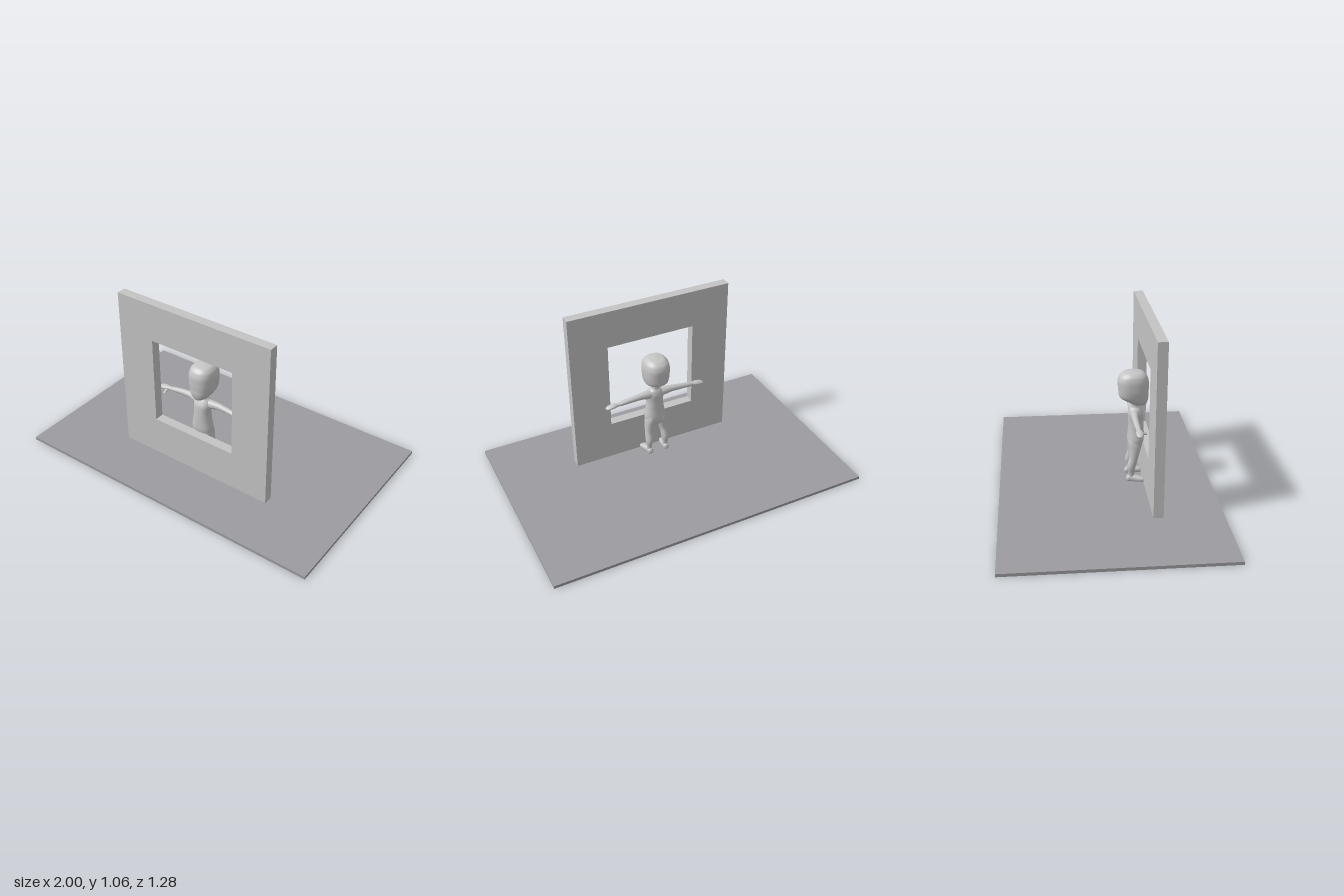
import * as THREE from 'three';

const AXES = { x: 0, y: 1, z: 2 };

// Smooth closed body swept along one axis. Section: [x, y, z, r1, r2].
// Radii are (x, z) along y, (z, y) along x and (y, x) along z.
function loft(axis, sections, { power = 1, side = 1, sides = 24, steps = 4 } = {}) {
  const k = AXES[axis], u = (k + 2) % 3, v = (k + 1) % 3;
  const centres = new THREE.CatmullRomCurve3(sections.map(s => new THREE.Vector3(s[0], s[1], s[2])));
  const radii = new THREE.CatmullRomCurve3(sections.map(s => new THREE.Vector3(s[3], s[4], 0)));
  const rings = (sections.length - 1) * steps;
  const pos = [], index = [];
  const bend = n => Math.sign(n) * Math.abs(n) ** power;
  const addPoint = p => pos.push(p[0] * side, p[1], p[2]);
  const addTri = (a, b, c) => (side > 0 ? index.push(a, b, c) : index.push(a, c, b));
  for (let i = 0; i <= rings; i++) {
    const c = centres.getPoint(i / rings).toArray();
    const r = radii.getPoint(i / rings);
    for (let j = 0; j < sides; j++) {
      const t = (j / sides) * Math.PI * 2, p = [...c];
      p[u] += Math.max(r.x, 0.001) * bend(Math.cos(t));
      p[v] += Math.max(r.y, 0.001) * bend(Math.sin(t));
      addPoint(p);
    }
  }
  for (let i = 0; i < rings; i++) {
    for (let j = 0; j < sides; j++) {
      const a = i * sides + j, b = i * sides + (j + 1) % sides;
      addTri(a, a + sides, b);
      addTri(b, a + sides, b + sides);
    }
  }
  // end caps
  const first = pos.length / 3;
  addPoint(sections[0]);
  addPoint(sections[sections.length - 1]);
  for (let j = 0; j < sides; j++) {
    const n = (j + 1) % sides, top = rings * sides;
    addTri(first, j, n);
    addTri(first + 1, top + n, top + j);
  }
  const g = new THREE.BufferGeometry();
  g.setAttribute('position', new THREE.Float32BufferAttribute(pos, 3));
  g.setIndex(index);
  g.computeVertexNormals();
  return g;
}

export function createModel() {
  const model = new THREE.Group();
  const material = (name, color) => Object.assign(new THREE.MeshStandardMaterial({ color }), { name });
  const floorGrey = material('floorGrey', 0x9c9ca0);
  const wallGrey = material('wallGrey', 0xc4c4c4);
  const bodyGrey = material('bodyGrey', 0xc5c5c5);
  const add = (parent, name, geometry, mat) => {
    const mesh = new THREE.Mesh(geometry, mat);
    mesh.name = name;
    parent.add(mesh);
    return mesh;
  };

  // floor slab
  add(model, 'floor', new THREE.BoxGeometry(2, 0.018, 1.28), floorGrey).position.y = 0.009;

  // wall with a square window opening
  const outline = (w, y0, y1, P) => new P().setFromPoints([
    new THREE.Vector2(-w, y0), new THREE.Vector2(w, y0),
    new THREE.Vector2(w, y1), new THREE.Vector2(-w, y1), new THREE.Vector2(-w, y0)]);
  const wallShape = outline(0.52, 0.018, 1.06, THREE.Shape);
  wallShape.holes.push(outline(0.28, 0.267, 0.824, THREE.Path));
  const wall = new THREE.ExtrudeGeometry(wallShape, { depth: 0.058, bevelEnabled: false });
  add(model, 'windowWall', wall, wallGrey).position.z = 0.233;

  // figure standing behind the window
  const figure = new THREE.Group();
  figure.name = 'figure';
  model.add(figure);

  add(figure, 'head', loft('y', [
    [0, 0.497, 0.215, 0.005, 0.005],
    [0, 0.503, 0.212, 0.028, 0.036],
    [0, 0.522, 0.202, 0.052, 0.056],
    [0, 0.555, 0.178, 0.071, 0.086],
    [0, 0.60, 0.174, 0.079, 0.091],
    [0, 0.65, 0.172, 0.080, 0.093],
    [0, 0.688, 0.172, 0.072, 0.082],
    [0, 0.710, 0.174, 0.050, 0.055],
    [0, 0.717, 0.175, 0.006, 0.006]], { power: 0.85, sides: 32 }), bodyGrey);

  add(figure, 'torso', loft('y', [
    [0, 0.215, 0.185, 0.020, 0.020],
    [0, 0.235, 0.186, 0.060, 0.040],
    [0, 0.28, 0.190, 0.068, 0.050],
    [0, 0.34, 0.192, 0.058, 0.048],
    [0, 0.40, 0.191, 0.052, 0.047],
    [0, 0.445, 0.188, 0.056, 0.046],
    [0, 0.475, 0.184, 0.046, 0.035],
    [0, 0.492, 0.183, 0.025, 0.025],
    [0, 0.53, 0.184, 0.022, 0.023]], { power: 0.9 }), bodyGrey);

  for (const [label, side] of [['left', 1], ['right', -1]]) {
    // arm and flat hand held straight out
    add(figure, label + 'Arm', loft('x', [
      [0.02, 0.452, 0.182, 0.030, 0.030],
      [0.06, 0.454, 0.177, 0.026, 0.027],
      [0.10, 0.457, 0.174, 0.021, 0.021],
      [0.16, 0.453, 0.173, 0.018, 0.018],
      [0.22, 0.447, 0.175, 0.017, 0.015],
      [0.255, 0.443, 0.177, 0.014, 0.012],
      [0.285, 0.441, 0.178, 0.022, 0.014],
      [0.315, 0.437, 0.178, 0.020, 0.011],
      [0.332, 0.434, 0.178, 0.010, 0.006]], { side }), bodyGrey);

    // thumb
    add(figure, label + 'Thumb', loft('z', [
      [0.272, 0.438, 0.180, 0.010, 0.010],
      [0.270, 0.432, 0.200, 0.008, 0.009],
      [0.268, 0.426, 0.216, 0.007, 0.008],
      [0.267, 0.423, 0.224, 0.002, 0.002]], { side, sides: 12 }), bodyGrey);

    // leg
    add(figure, label + 'Leg', loft('y', [
      [0.056, 0.030, 0.160, 0.018, 0.018],
      [0.056, 0.065, 0.160, 0.016, 0.017],
      [0.055, 0.115, 0.161, 0.023, 0.027],
      [0.051, 0.17, 0.175, 0.024, 0.027],
      [0.043, 0.22, 0.182, 0.030, 0.034],
      [0.036, 0.265, 0.186, 0.032, 0.043],
      [0.032, 0.30, 0.188, 0.026, 0.038]], { side }), bodyGrey);

    // foot, turned slightly outward
    add(figure, label + 'Foot', loft('z', [
      [0.055, 0.036, 0.130, 0.006, 0.006],
      [0.055, 0.038, 0.138, 0.018, 0.017],
      [0.057, 0.039, 0.165, 0.021, 0.020],
      [0.063, 0.036, 0.200, 0.018, 0.025],
      [0.068, 0.033, 0.228, 0.015, 0.024],
      [0.070, 0.031, 0.243, 0.006, 0.010]], { side, power: 0.85 }), bodyGrey);
  }
  return model;
}
